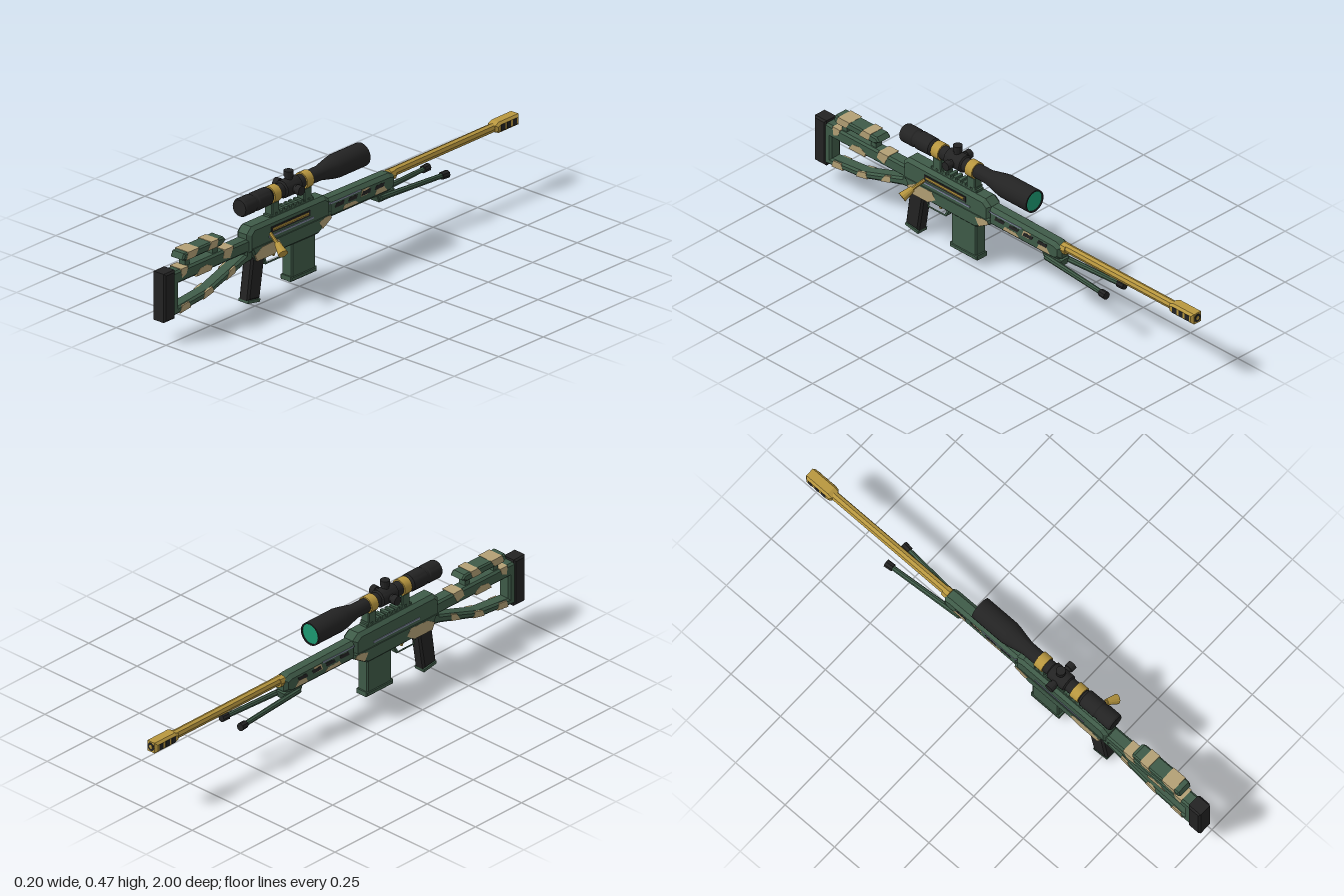
import * as THREE from 'three';
import { toCreasedNormals } from 'three/addons/utils/BufferGeometryUtils.js';

const CX = -0.037; // centre line of the rifle

const mat = (name, color) => {
  const m = new THREE.MeshStandardMaterial({ color });
  m.name = name;
  return m;
};

export function createModel() {
  const green = mat('green', 0x3f5b48);
  const tan = mat('tan', 0xb3a075);
  const black = mat('black', 0x232323);
  const gold = mat('gold', 0xb8973f);
  const grey = mat('grey', 0x7d879c);
  const teal = mat('teal', 0x1c9a72);

  const root = new THREE.Group();
  root.name = 'rifle';

  const add = (name, geo, material, x = 0, y = 0, z = 0) => {
    const m = new THREE.Mesh(geo, material);
    m.name = name;
    m.position.set(x, y, z);
    root.add(m);
    return m;
  };

  // side profile of [z, y] points, extruded across x with chamfered edges
  const slab = (name, pts, width, material, bevel = 0, hole = null, x = CX) => {
    const toV = (p) => new THREE.Vector2(p[0], p[1]);
    const shape = new THREE.Shape(pts.map(toV));
    if (hole) shape.holes.push(new THREE.Path(hole.map(toV)));
    const depth = width - 2 * bevel;
    const geo = new THREE.ExtrudeGeometry(shape, {
      depth, bevelEnabled: bevel > 0, bevelSize: bevel, bevelThickness: bevel,
      bevelOffset: -bevel, bevelSegments: 1,
    });
    geo.translate(0, 0, -depth / 2);
    geo.rotateY(-Math.PI / 2);
    return add(name, geo, material, x);
  };

  const rect = (z0, z1, y0, y1) => [[z0, y0], [z1, y0], [z1, y1], [z0, y1]];

  // straight round rod between two points
  const rod = (name, a, b, ra, rb, material, sides = 8) => {
    const va = new THREE.Vector3(...a), vb = new THREE.Vector3(...b);
    const dir = vb.clone().sub(va);
    const geo = toCreasedNormals(new THREE.CylinderGeometry(rb, ra, dir.length(), sides), 0.5);
    const m = add(name, geo, material);
    m.position.copy(va).add(vb).multiplyScalar(0.5);
    m.quaternion.setFromUnitVectors(new THREE.Vector3(0, 1, 0), dir.normalize());
    return m;
  };
  const along = (name, z0, z1, y, r, material, sides) =>
    rod(name, [CX, y, z0], [CX, y, z1], r, r, material, sides);

  // skeleton stock, butt pad and cheek rest
  slab('stock', [[0.95, 0.275], [0.5, 0.275], [0.5, 0.185], [0.54, 0.18], [0.76, 0.113], [0.95, 0.095]],
    0.056, green, 0.008, [[0.915, 0.222], [0.915, 0.128], [0.75, 0.145], [0.54, 0.215], [0.54, 0.222]]);
  slab('buttPad', rect(0.94, 1, 0.087, 0.285), 0.064, black, 0.007);
  slab('cheekRest', [[0.9, 0.312], [0.89, 0.335], [0.67, 0.335], [0.655, 0.318], [0.68, 0.302], [0.88, 0.302]],
    0.066, green, 0.006);
  for (const z of [0.855, 0.7]) slab('cheekPost', rect(z - 0.013, z + 0.013, 0.27, 0.305), 0.03, green);

  // receiver
  slab('receiver', [[0.53, 0.215], [0.53, 0.295], [0.505, 0.32], [0.1, 0.318], [0.07, 0.295], [0.07, 0.222]],
    0.072, green, 0.014);
  slab('lowerReceiver', [[0.52, 0.24], [0.49, 0.18], [0.14, 0.178], [0.065, 0.222], [0.065, 0.245]],
    0.076, green, 0.008);
  slab('sideStrip', rect(0.17, 0.42, 0.252, 0.259), 0.077, grey);
  slab('ejectionPort', rect(0.19, 0.41, 0.268, 0.292), 0.003, black, 0, null, 0);
  along('bolt', 0.4, 0.2, 0.28, 0.007, gold).position.x = -0.002;

  // bolt handle with flared knob
  rod('boltHandle', [-0.02, 0.275, 0.405], [0.05, 0.241, 0.427], 0.007, 0.008, gold);
  rod('boltKnob', [0.046, 0.243, 0.425], [0.088, 0.217, 0.44], 0.012, 0.02, gold, 12);

  // pistol grip, trigger and guard
  slab('grip', [[0.5, 0.195], [0.425, 0.195], [0.455, 0.012], [0.525, 0.022]], 0.05, black, 0.008);
  slab('gripCap', [[0.523, 0.024], [0.455, 0.012], [0.457, 0], [0.525, 0.012]], 0.048, green);
  slab('triggerGuard', [[0.43, 0.185], [0.415, 0.135], [0.32, 0.135], [0.295, 0.185]], 0.026, green, 0,
    [[0.42, 0.186], [0.408, 0.143], [0.326, 0.143], [0.306, 0.186]].map(([z, y]) => [z, Math.min(y, 0.18)]));
  slab('trigger', [[0.375, 0.185], [0.36, 0.185], [0.352, 0.15], [0.36, 0.15]], 0.012, gold);

  // magazine
  slab('magazine', rect(0.147, 0.28, 0.035, 0.19), 0.052, green, 0.005);
  slab('magazineBase', rect(0.141, 0.286, 0.025, 0.045), 0.058, green, 0.004);

  // handguard with slots and upper rails
  slab('handguard', [[0.08, 0.215], [0.08, 0.295], [-0.27, 0.29], [-0.3, 0.278], [-0.3, 0.23], [-0.27, 0.215]],
    0.062, green, 0.014);
  for (let i = 0; i < 4; i++) {
    const z = 0.045 - i * 0.075;
    slab('handguardSlot', [[z, 0.252], [z - 0.008, 0.268], [z - 0.055, 0.268], [z - 0.048, 0.252]], 0.0635, black);
  }
  slab('handguardStrip', rect(-0.1, 0.072, 0.274, 0.28), 0.0635, grey);

  // barrel and muzzle brake
  along('barrel', -0.29, -0.89, 0.275, 0.018, gold, 8);
  along('barrelCollar', -0.29, -0.315, 0.27, 0.023, gold, 8);
  slab('muzzleBrake', [[-0.87, 0.262], [-0.87, 0.288], [-0.89, 0.298], [-1, 0.298], [-1, 0.254], [-0.89, 0.254]],
    0.054, gold, 0.009);
  for (const z of [-0.905, -0.938, -0.971]) slab('brakePort', rect(z - 0.011, z + 0.011, 0.263, 0.289), 0.0555, black);
  along('muzzleRing', -0.99, -1.001, 0.276, 0.017, black, 12);
  along('muzzleBore', -1, -1.002, 0.276, 0.008, gold, 12);

  // folded bipod
  slab('bipodMount', [[-0.2, 0.222], [-0.215, 0.188], [-0.29, 0.188], [-0.3, 0.22]], 0.05, green, 0.004);
  for (const s of [-1, 1]) {
    rod('bipodLeg', [CX + s * 0.022, 0.205, -0.22], [CX + s * 0.047, 0.2, -0.55], 0.012, 0.01, green);
    rod('bipodFoot', [CX + s * 0.046, 0.2, -0.535], [CX + s * 0.049, 0.2, -0.568], 0.015, 0.016, black);
  }

  // top rail with teeth
  slab('rail', rect(0.15, 0.395, 0.31, 0.328), 0.04, green, 0.003);
  for (let z = 0.165; z < 0.39; z += 0.026) slab('railTooth', rect(z - 0.007, z + 0.007, 0.325, 0.336), 0.04, green);

  // scope body turned around its long axis
  const SY = 0.403;
  const profile = [
    [0.041, -0.128], [0.041, -0.138], [0.047, -0.138], [0.047, 0.01], [0.043, 0.035], [0.029, 0.1],
    [0.028, 0.225], [0.035, 0.23], [0.035, 0.31], [0.028, 0.315], [0.028, 0.385], [0.036, 0.395],
    [0.037, 0.465], [0.034, 0.47], [0.034, 0.48], [0.037, 0.485], [0.037, 0.54], [0.033, 0.547], [0, 0.547],
  ].map((p) => new THREE.Vector2(...p));
  const scope = new THREE.LatheGeometry(profile, 20);
  scope.rotateX(Math.PI / 2);
  add('scopeBody', toCreasedNormals(scope, 0.5), black, CX, SY, 0);
  along('scopeLens', -0.128, -0.134, SY, 0.0415, teal, 20);

  // adjustment turrets: top and both sides
  for (const [dx, dy] of [[0, 1], [1, 0], [-1, 0]]) {
    const at = (d) => [CX + dx * d, SY + dy * d, 0.27];
    rod('turretNeck', at(0.02), at(0.045), 0.015, 0.015, black, 12);
    rod('turretCap', at(0.043), at(0.066), 0.019, 0.019, black, 12);
  }

  // scope rings and their feet
  for (const z of [0.182, 0.363]) {
    along('scopeRing', z - 0.019, z + 0.019, SY, 0.034, gold, 20);
    slab('ringFoot', rect(z - 0.022, z + 0.022, 0.328, 0.378), 0.04, green, 0.004);
  }

  // tan camouflage patches: thin skins just proud of the part
  const patch = (pts, w) => slab('camoPatch', pts, w, tan);
  patch([[0.82, 0.219], [0.8, 0.245], [0.76, 0.25], [0.73, 0.235], [0.735, 0.219]], 0.0575);
  patch([[0.66, 0.277], [0.67, 0.245], [0.63, 0.235], [0.61, 0.277]], 0.0575);
  patch([[0.905, 0.277], [0.9, 0.24], [0.875, 0.25], [0.865, 0.277]], 0.0575);
  patch([[0.91, 0.098], [0.9, 0.127], [0.86, 0.131], [0.85, 0.105]], 0.0575);
  patch([[0.78, 0.113], [0.77, 0.14], [0.73, 0.15], [0.72, 0.126]], 0.0575);
  patch([[0.65, 0.15], [0.63, 0.183], [0.6, 0.193], [0.6, 0.165]], 0.0575);
  patch([[0.87, 0.3365], [0.88, 0.306], [0.83, 0.306], [0.81, 0.3365]], 0.0675);
  patch([[0.74, 0.3365], [0.76, 0.306], [0.71, 0.306], [0.7, 0.3365]], 0.0675);
  patch([[0.491, 0.187], [0.488, 0.178], [0.39, 0.178], [0.35, 0.205], [0.37, 0.232], [0.46, 0.228], [0.5, 0.205]], 0.0772);
  patch([[0.12, 0.193], [0.14, 0.225], [0.1, 0.236], [0.075, 0.234], [0.07, 0.222]], 0.0772);
  patch([[0.0, 0.23], [-0.01, 0.247], [-0.07, 0.245], [-0.09, 0.23]], 0.063);
  patch([[-0.18, 0.23], [-0.19, 0.25], [-0.23, 0.255], [-0.25, 0.23]], 0.063);
  patch([[-0.1, 0.25], [-0.11, 0.276], [-0.15, 0.276], [-0.14, 0.25]], 0.0628);

  return root;
}
